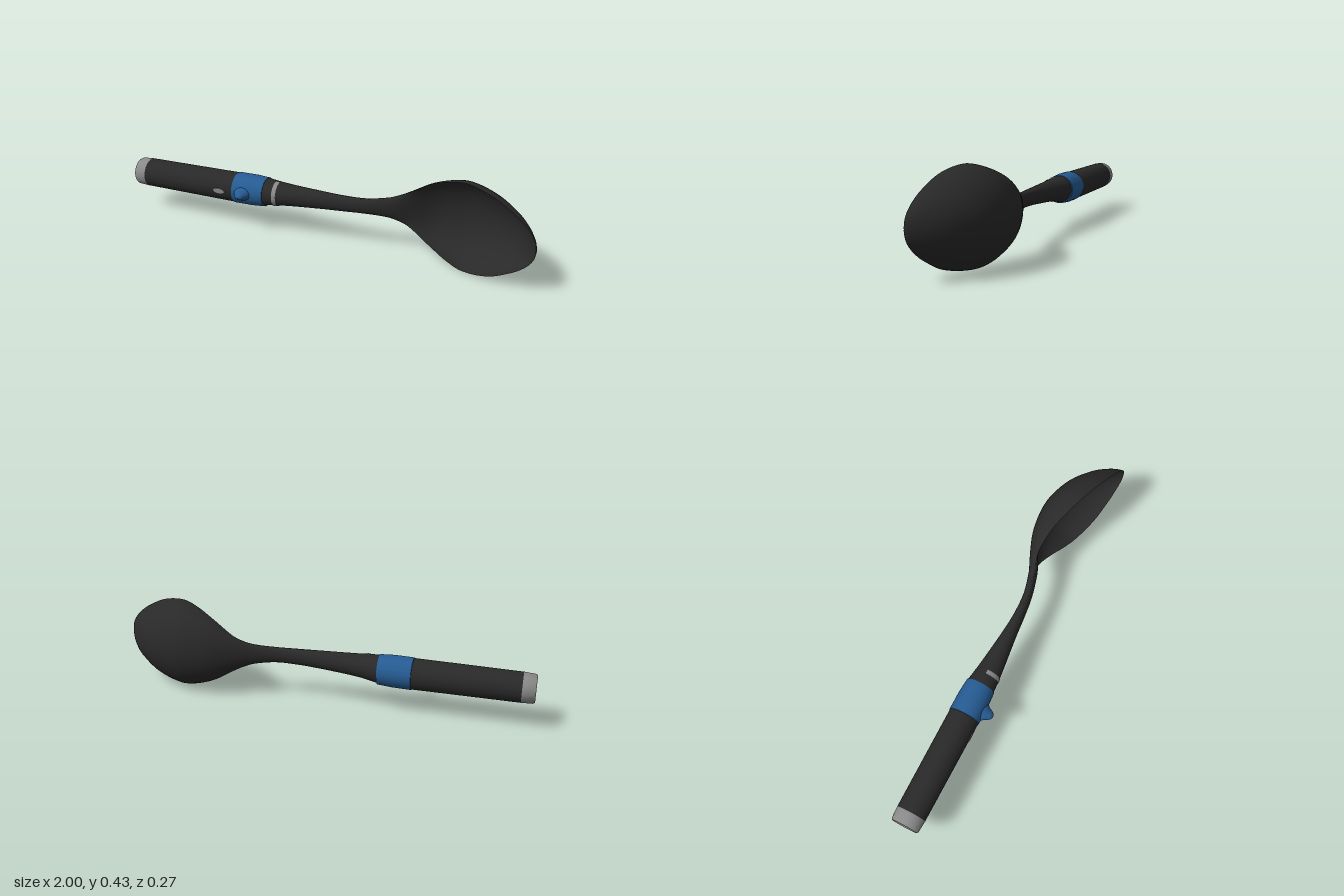
import * as THREE from 'three';
import { toCreasedNormals } from 'three/addons/utils/BufferGeometryUtils.js';

// Catmull-Rom blend of the station rows, `steps` rows per span
function refine(rows, steps) {
  const out = [];
  const n = rows.length;
  for (let i = 0; i < n - 1; i++) {
    const [p0, p1, p2, p3] = [-1, 0, 1, 2].map((k) => rows[Math.min(n - 1, Math.max(0, i + k))]);
    for (let s = 0; s < steps; s++) {
      const t = s / steps;
      out.push(p1.map((v, c) => {
        const dx1 = (p2[0] - p0[0]) || 1, dx2 = (p3[0] - p1[0]) || 1, dx = p2[0] - p1[0];
        if (c === 0) return v + dx * t;
        const m1 = ((p2[c] - p0[c]) / dx1) * dx, m2 = ((p3[c] - p1[c]) / dx2) * dx;
        const t2 = t * t, t3 = t2 * t;
        return (2 * t3 - 3 * t2 + 1) * v + (t3 - 2 * t2 + t) * m1
          + (3 * t2 - 2 * t3) * p2[c] + (t3 - t2) * m2;
      }));
    }
  }
  out.push(rows[n - 1]);
  return out;
}

// Skin over stations [x, centre y, half height, edge z, back z, front z]
function loft(rows, a0 = 0, a1 = Math.PI * 2, segs = 48, grow = 0) {
  const pos = [], idx = [];
  for (const [x, yc, h, ze, zb, zf] of rows) {
    for (let j = 0; j <= segs; j++) {
      const a = a0 + ((a1 - a0) * j) / segs, s = Math.sin(a);
      const depth = s > 0 ? zf - ze + grow : ze - zb + grow;
      pos.push(x, yc + (h + grow) * Math.cos(a), ze + depth * s);
    }
  }
  const w = segs + 1;
  for (let i = 0; i < rows.length - 1; i++) {
    for (let j = 0; j < segs; j++) {
      const a = i * w + j, b = a + 1, c = a + w, d = c + 1;
      idx.push(a, b, c, b, d, c);
    }
  }
  const g = new THREE.BufferGeometry();
  g.setAttribute('position', new THREE.Float32BufferAttribute(pos, 3));
  g.setIndex(idx);
  return toCreasedNormals(g, 0.8);
}

// Round handle station
const round = (x, yc, r, zc = 0.008) => [x, yc, r, zc, zc - r, zc + r];

export function createModel() {
  const group = new THREE.Group();
  const mat = (name, color, side = THREE.FrontSide) => {
    const m = new THREE.MeshStandardMaterial({ color, side });
    m.name = name;
    return m;
  };
  const black = mat('black plastic', 0x292929);
  const blue = mat('blue plastic', 0x265c94);
  const grey = mat('grey metal', 0x8a8a8a, THREE.DoubleSide);
  const add = (name, geometry, material) => {
    const m = new THREE.Mesh(geometry, material);
    m.name = name;
    group.add(m);
    return m;
  };

  // Handle
  add('endCap', loft([
    round(-1, 0.187, 0.001), round(-1, 0.187, 0.061), round(-0.992, 0.187, 0.066), round(-0.94, 0.188, 0.069),
  ]), grey);
  add('grip', loft([round(-0.94, 0.188, 0.069), round(-0.45, 0.192, 0.072)]), black);
  add('gripBand', loft([
    round(-0.455, 0.192, 0.068), round(-0.452, 0.192, 0.0745), round(-0.36, 0.194, 0.0745),
    round(-0.295, 0.195, 0.07), round(-0.293, 0.195, 0.06),
  ]), blue);

  // Thumb button: rounded cone on the band
  const profile = [[0.046, -0.012], [0.04, 0.004], [0.03, 0.016], [0.022, 0.032], [0.013, 0.043], [0, 0.047]];
  const buttonGeo = new THREE.LatheGeometry(profile.map(([r, y]) => new THREE.Vector2(r, y)), 24);
  const button = add('thumbButton', buttonGeo, blue);
  button.rotation.x = Math.PI / 2;
  button.position.set(-0.395, 0.195, 0.079);
  button.scale.z = 0.75;

  // Neck flowing into the hollow bowl
  const stations = [
    [-0.31, 0.196, 0.068, 0.008, -0.06, 0.076],
    [-0.2, 0.202, 0.054, 0.013, -0.043, 0.068],
    [0, 0.208, 0.043, 0.013, -0.02, 0.045],
    [0.1, 0.21, 0.039, 0.011, -0.015, 0.036],
    [0.2, 0.212, 0.038, 0.002, -0.021, 0.023],
    [0.3, 0.213, 0.049, -0.021, -0.046, -0.002],
    [0.35, 0.213, 0.065, -0.033, -0.066, -0.02],
    [0.4, 0.213, 0.09, -0.039, -0.088, -0.048],
    [0.5, 0.213, 0.153, -0.02, -0.124, -0.104],
    [0.6, 0.213, 0.197, 0.018, -0.138, -0.122],
    [0.68, 0.213, 0.213, 0.047, -0.134, -0.119],
    [0.8, 0.213, 0.189, 0.087, -0.095, -0.081],
    [0.9, 0.214, 0.136, 0.112, -0.025, -0.012],
    [0.95, 0.214, 0.098, 0.123, 0.034, 0.046],
    [0.98, 0.214, 0.063, 0.13, 0.083, 0.092],
    [0.995, 0.214, 0.032, 0.133, 0.114, 0.12],
    [1, 0.214, 0.002, 0.134, 0.132, 0.133],
  ];
  const body = refine(stations, 5);
  add('neckAndBowl', loft(body, 0, Math.PI * 2, 56), black);

  // Grey arc across the front of the neck
  const mark = [-0.245, -0.235, -0.225].map((x) => {
    const t = (x + 0.31) / 0.11;
    return stations[0].map((v, c) => (c === 0 ? x : v + (stations[1][c] - v) * t));
  });
  add('neckMark', loft(mark, 0, Math.PI, 24, 0.003), grey);

  // Small oval indicator on the grip
  const light = add('indicator', new THREE.CylinderGeometry(1, 1, 0.006, 24), grey);
  light.rotation.x = Math.PI / 2;
  light.scale.set(0.029, 1, 0.013);
  light.position.set(-0.52, 0.191, 0.078);

  return group;
}
